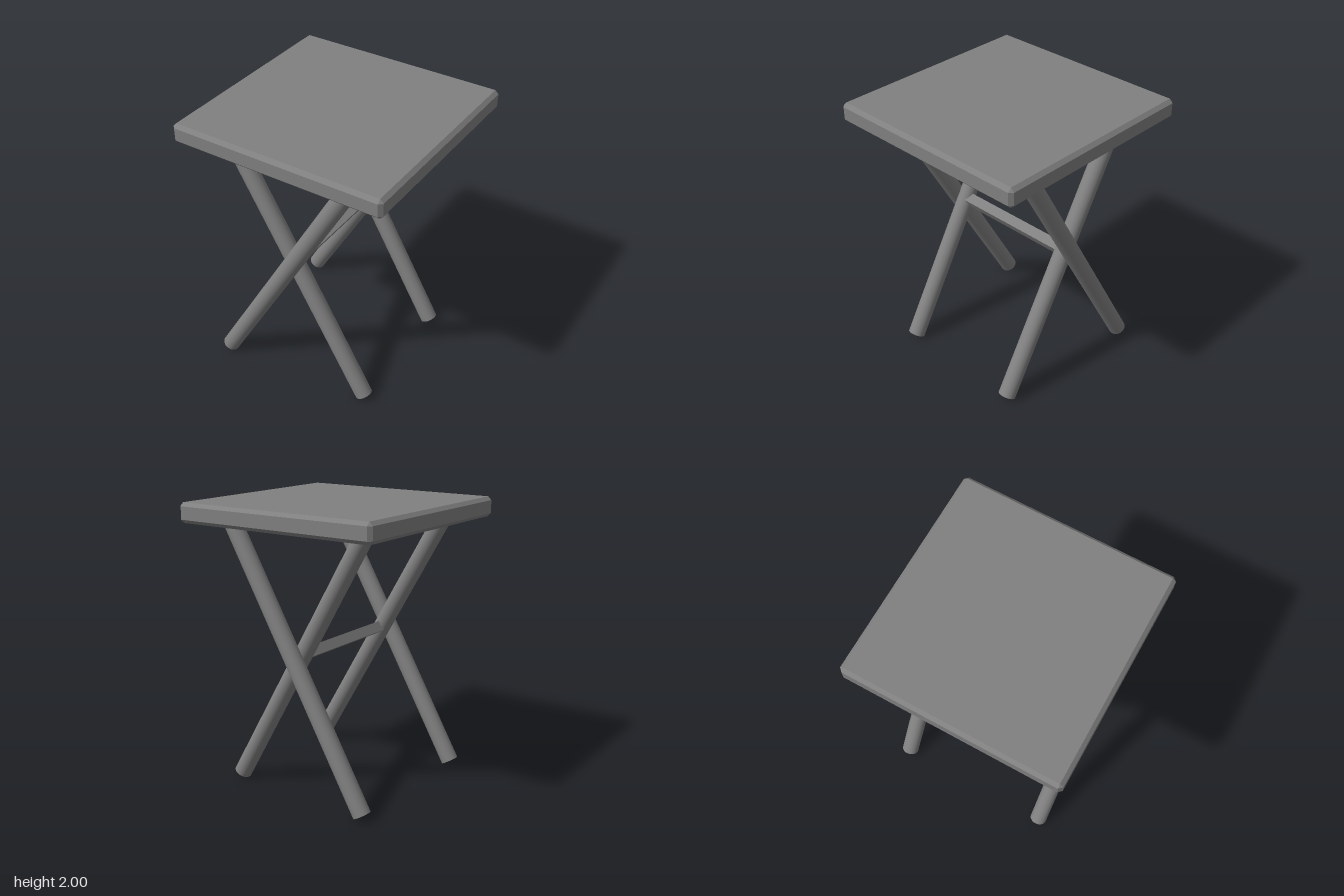
import * as THREE from 'three';
import { ConvexGeometry } from 'three/addons/geometries/ConvexGeometry.js';

const LEAN = Math.PI / 6; // legs lean 30 degrees from vertical
const LEG_RADIUS = 0.0625;

// Box with every edge chamfered by b
function chamferedBox(w, h, d, b) {
  const points = [];
  for (const sx of [-1, 1]) for (const sy of [-1, 1]) for (const sz of [-1, 1]) {
    const x = w / 2, y = h / 2, z = d / 2;
    for (const [px, py, pz] of [[x, y - b, z - b], [x - b, y, z - b], [x - b, y - b, z]]) {
      points.push(new THREE.Vector3(sx * px, sy * py, sz * pz));
    }
  }
  return new ConvexGeometry(points);
}

export function createModel() {
  const group = new THREE.Group();
  const grey = new THREE.MeshStandardMaterial({ color: 0x808080 });
  grey.name = 'grey';

  const add = (name, geometry, x, y, z, tilt = 0) => {
    const mesh = new THREE.Mesh(geometry, grey);
    mesh.name = name;
    mesh.position.set(x, y, z);
    mesh.rotation.z = tilt;
    group.add(mesh);
  };

  // Square seat
  add('seat', chamferedBox(1.555, 0.14, 1.536, 0.025), 0, 1.93, 0);

  // Crossed legs: an outer and an inner one on each side, ending inside the seat
  const footY = LEG_RADIUS * Math.sin(LEAN);
  const length = (1.92 - footY) / Math.cos(LEAN);
  const legGeometry = new THREE.CylinderGeometry(LEG_RADIUS, LEG_RADIUS, length, 32);
  const addLeg = (name, footX, direction, z) => add(
    name, legGeometry,
    footX + direction * Math.sin(LEAN) * length / 2,
    footY + Math.cos(LEAN) * length / 2,
    z, -direction * LEAN,
  );
  for (const [end, side] of [['front', 1], ['back', -1]]) {
    addLeg(end + 'OuterLeg', -0.603, 1, side * 0.58);
    addLeg(end + 'InnerLeg', 0.516, -1, side * 0.48);
  }

  // Square bar joining the inner legs where they cross
  add('crossbar', new THREE.BoxGeometry(0.073, 0.073, 0.96), -0.045, 1.01, 0, -LEAN);

  return group;
}
